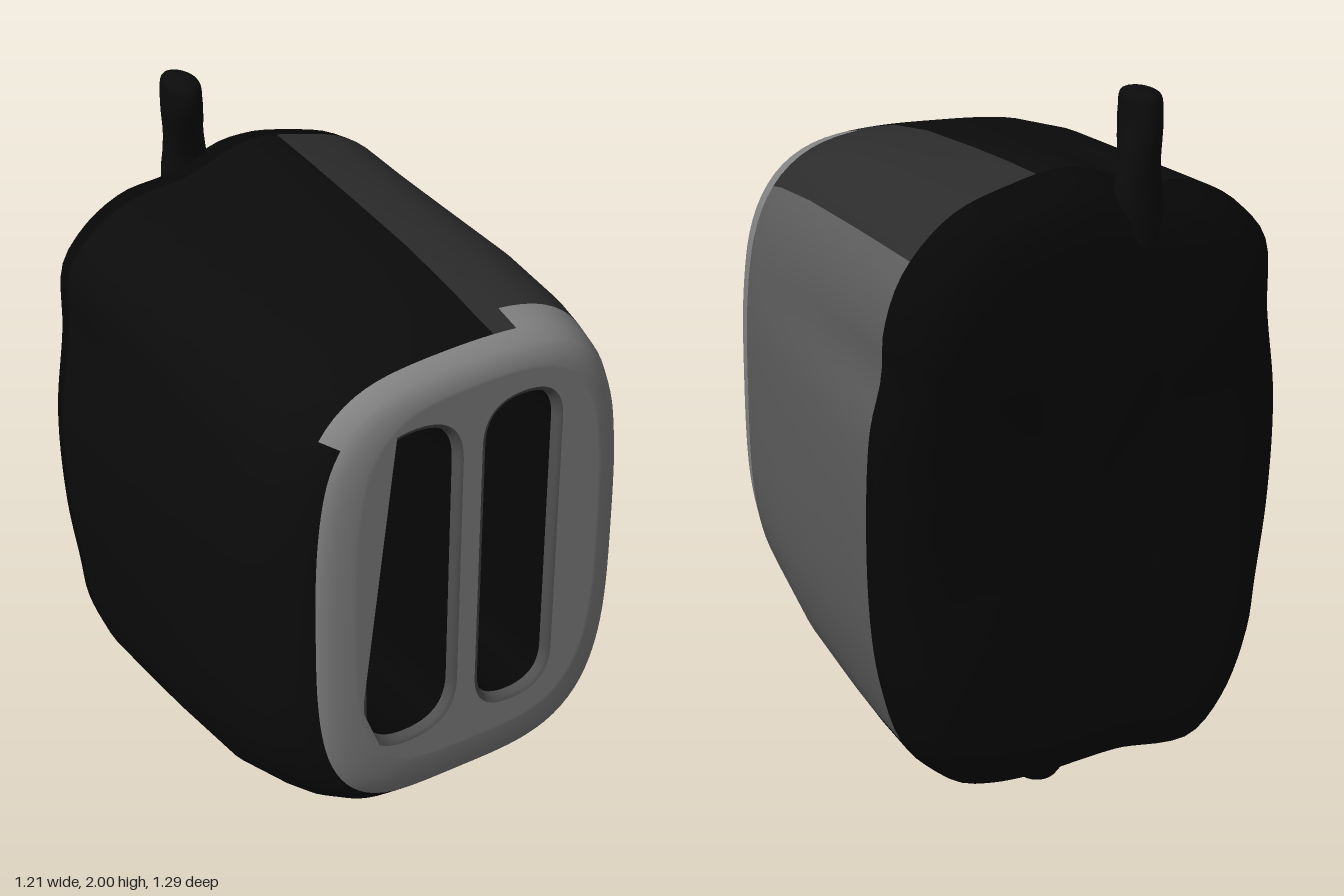
import * as THREE from 'three';

// Closed, slightly lumpy outline of the widest body section
const OUTLINE = [
  [-0.55, 1.55], [-0.565, 1.35], [-0.6, 1.1], [-0.59, 0.78], [-0.555, 0.55], [-0.53, 0.4], [-0.45, 0.22],
  [-0.34, 0.12], [-0.1, 0.13], [0.15, 0.11], [0.25, 0.11], [0.38, 0.14], [0.5, 0.25], [0.57, 0.45],
  [0.6, 0.7], [0.59, 1.15], [0.555, 1.3], [0.545, 1.43], [0.49, 1.57], [0.36, 1.7], [0.2, 1.76], [0.02, 1.79],
  [-0.18, 1.73], [-0.35, 1.71], [-0.48, 1.64],
];

// Body sections from front to back: z, x min, x max, y min, y max
const FRONT_Z = 0.648;
const SECTIONS = [
  [FRONT_Z, -0.35, 0.42, 0.44, 1.58],
  [FRONT_Z, -0.36, 0.43, 0.43, 1.59],
  [0.64, -0.42, 0.465, 0.37, 1.62],
  [0.62, -0.46, 0.495, 0.32, 1.645],
  [0.58, -0.505, 0.515, 0.285, 1.67],
  [0.5, -0.545, 0.535, 0.25, 1.69],
  [0.42, -0.565, 0.545, 0.225, 1.71],
  [0.2, -0.58, 0.56, 0.15, 1.745],
  [-0.1, -0.59, 0.577, 0.12, 1.77],
  [-0.3, -0.597, 0.59, 0.112, 1.783],
  [-0.48, -0.6, 0.6, 0.11, 1.79],
  [-0.54, -0.59, 0.59, 0.115, 1.78],
  [-0.6, -0.545, 0.55, 0.15, 1.745],
  [-0.63, -0.5, 0.5, 0.2, 1.7],
  [-0.647, -0.42, 0.42, 0.28, 1.61],
  [-0.64, -0.22, 0.22, 0.62, 1.3],
  [-0.64, 0, 0, 0.95, 0.95],
];

const COLORS = {
  frontPanel: 0x858585, sidePanel: 0x5c5c5c, upperSidePanel: 0x2c2c2c, darkShell: 0x0b0b0b, backPlate: 0x070707,
};

const mesh = (geometry, color, name) => {
  const m = new THREE.Mesh(geometry, new THREE.MeshStandardMaterial({ color }));
  m.name = name;
  return m;
};

// Which panel a spot on the body belongs to, from its outline point and depth
function panelAt({ x, y }, z) {
  if (z < -0.48) return 'backPlate';
  if (z > 0.62 || (z > 0.58 && x > -0.5 && y > 0.3) || (z > 0.5 && x > 0.2 && y > 0.24)) return 'frontPanel';
  if (x > 0.48 && y > 0.24 && y < 1.6) return 'sidePanel';
  if (x > 0.15 && y > 1) return 'upperSidePanel';
  return 'darkShell';
}

// Skin over closed loops of equal length; inward turns its faces to the inside
function loft(loops, inward) {
  const n = loops[0].length;
  const indices = [];
  for (let r = 0; r < loops.length - 1; r++) {
    for (let j = 0; j < n; j++) {
      const a = r * n + j, b = r * n + (j + 1) % n, c = a + n, d = b + n;
      indices.push(...(inward ? [a, b, c, b, d, c] : [a, c, b, b, c, d]));
    }
  }
  const geometry = new THREE.BufferGeometry().setFromPoints(loops.flat());
  geometry.setIndex(indices);
  geometry.computeVertexNormals();
  return geometry;
}

// Rounded slot outline, grown outwards by g
function slotShape([x0, x1, y0, y1], g) {
  const l = x0 - g, r = x1 + g, b = y0 - g, t = y1 + g, m = (l + r) / 2, c = m - l;
  const s = new THREE.Shape();
  s.moveTo(m, b);
  s.quadraticCurveTo(r, b, r, b + c);
  s.lineTo(r, t - c);
  s.quadraticCurveTo(r, t, m, t);
  s.quadraticCurveTo(l, t, l, t - c);
  s.lineTo(l, b + c);
  s.quadraticCurveTo(l, b, m, b);
  return s;
}

// Recessed bread slot: soft grey lip, then dark walls and floor
function buildSlot(bounds, name) {
  const loop = (g, z) => slotShape(bounds, g).getPoints(12).slice(0, -1).map((p) => new THREE.Vector3(p.x, p.y, z));
  const floorZ = 0.25;
  const slot = new THREE.Group();
  slot.name = name;
  slot.add(mesh(loft([loop(0.018, FRONT_Z), loop(0.006, 0.642), loop(0, 0.62)], true), 0x505050, 'slotLip'));
  slot.add(mesh(loft([loop(0, 0.62), loop(-0.005, floorZ)], true), 0x060606, 'slotWall'));
  const floor = mesh(new THREE.ShapeGeometry(slotShape(bounds, -0.005), 12), 0x060606, 'slotFloor');
  floor.position.z = floorZ;
  slot.add(floor);
  return slot;
}

// One smooth body skin, divided into coloured panels that share normals
function buildBody(slots) {
  const n = 120;
  const curve = new THREE.CatmullRomCurve3(OUTLINE.map(([x, y]) => new THREE.Vector3(x, y, 0)), true);
  const outline = curve.getSpacedPoints(n).slice(0, n);
  const loops = SECTIONS.map(([z, x0, x1, y0, y1]) => {
    // The lumpy outline turns into a regular rounded rectangle towards the front
    const regular = 0.9 * THREE.MathUtils.smoothstep(z, -0.45, 0.45);
    const bow = THREE.MathUtils.clamp((-z - 0.5) / 0.14, 0, 1) * 0.042;
    return outline.map((p) => {
      const u = p.x / 0.6, v = (p.y - 0.95) / 0.84;
      const k = (Math.abs(u) ** 3.5 + Math.abs(v) ** 3.5) ** (-1 / 3.5);
      const s = THREE.MathUtils.lerp(1, k, regular);
      const x = (x0 + x1) / 2 + (x1 - x0) / 2 * u * s;
      const y = (y0 + y1) / 2 + (y1 - y0) / 2 * v * s;
      return new THREE.Vector3(x, y, z + bow * Math.exp(-(((y - 0.93) / 0.38) ** 4)));
    });
  });
  const skin = loft(loops, false);
  const faces = skin.index.array;
  const panels = {};
  for (let q = 0; q < faces.length / 6; q++) {
    const r = Math.floor(q / n);
    const name = panelAt(outline[q % n], (SECTIONS[r][0] + SECTIONS[r + 1][0]) / 2);
    (panels[name] ??= []).push(...faces.slice(q * 6, q * 6 + 6));
  }
  const body = new THREE.Group();
  body.name = 'body';
  for (const [name, index] of Object.entries(panels)) {
    const geometry = new THREE.BufferGeometry();
    geometry.setAttribute('position', skin.attributes.position);
    geometry.setAttribute('normal', skin.attributes.normal);
    geometry.setIndex(index);
    body.add(mesh(geometry, COLORS[name], name));
  }

  // Flat front face with the slot openings cut out
  const face = new THREE.Shape(loops[0].map((p) => new THREE.Vector2(p.x, p.y)));
  face.holes = slots.map((bounds) => slotShape(bounds, 0.018));
  const frontFace = mesh(new THREE.ShapeGeometry(face, 12), COLORS.frontPanel, 'frontFace');
  frontFace.position.z = FRONT_Z;
  body.add(frontFace);
  return body;
}

// Smooth turned form from a few radius and height pairs
function turned(profile) {
  const curve = new THREE.SplineCurve(profile.map(([r, y]) => new THREE.Vector2(r, y)));
  const points = curve.getPoints(36).map((p) => new THREE.Vector2(Math.max(p.x, 0), p.y));
  return new THREE.LatheGeometry(points, 32);
}

// Lever: a turned stem that leans forward and widens towards its tip
function buildLever() {
  const geometry = turned([[0.07, 1.6], [0.07, 1.7], [0.063, 1.76], [0.056, 1.82], [0.053, 1.88], [0.049, 1.94], [0.042, 1.985], [0, 2]]);
  const p = geometry.attributes.position;
  for (let i = 0; i < p.count; i++) {
    const y = p.getY(i);
    const t = THREE.MathUtils.smoothstep(y, 1.74, 1.96);
    p.setX(i, p.getX(i) - 0.12 - 0.022 * t);
    p.setZ(i, p.getZ(i) * (0.75 + 0.9 * t) - 0.59 + 0.033 * t);
  }
  geometry.computeVertexNormals();
  return mesh(geometry, 0x0b0b0b, 'lever');
}

export function createModel() {
  const model = new THREE.Group();
  model.name = 'toaster';

  // Body and bread slots: x min, x max, y min, y max
  const rightSlot = [-0.31, -0.045, 0.535, 1.5];
  const leftSlot = [0.05, 0.27, 0.535, 1.5];
  model.add(buildBody([rightSlot, leftSlot]), buildSlot(rightSlot, 'rightSlot'), buildSlot(leftSlot, 'leftSlot'));

  model.add(buildLever());

  // Feet
  const frontFoot = mesh(
    turned([[0, 0.02], [0.042, 0.032], [0.058, 0.075], [0.068, 0.12], [0.09, 0.17], [0.1, 0.23]]), 0x303030, 'frontFoot');
  frontFoot.position.set(-0.025, 0, 0.285);
  const backFoot = mesh(
    turned([[0, 0], [0.045, 0.012], [0.08, 0.055], [0.12, 0.09], [0.18, 0.13]]), 0x0b0b0b, 'backFoot');
  backFoot.position.set(0.04, 0, -0.36);
  model.add(frontFoot, backFoot);

  return model;
}
